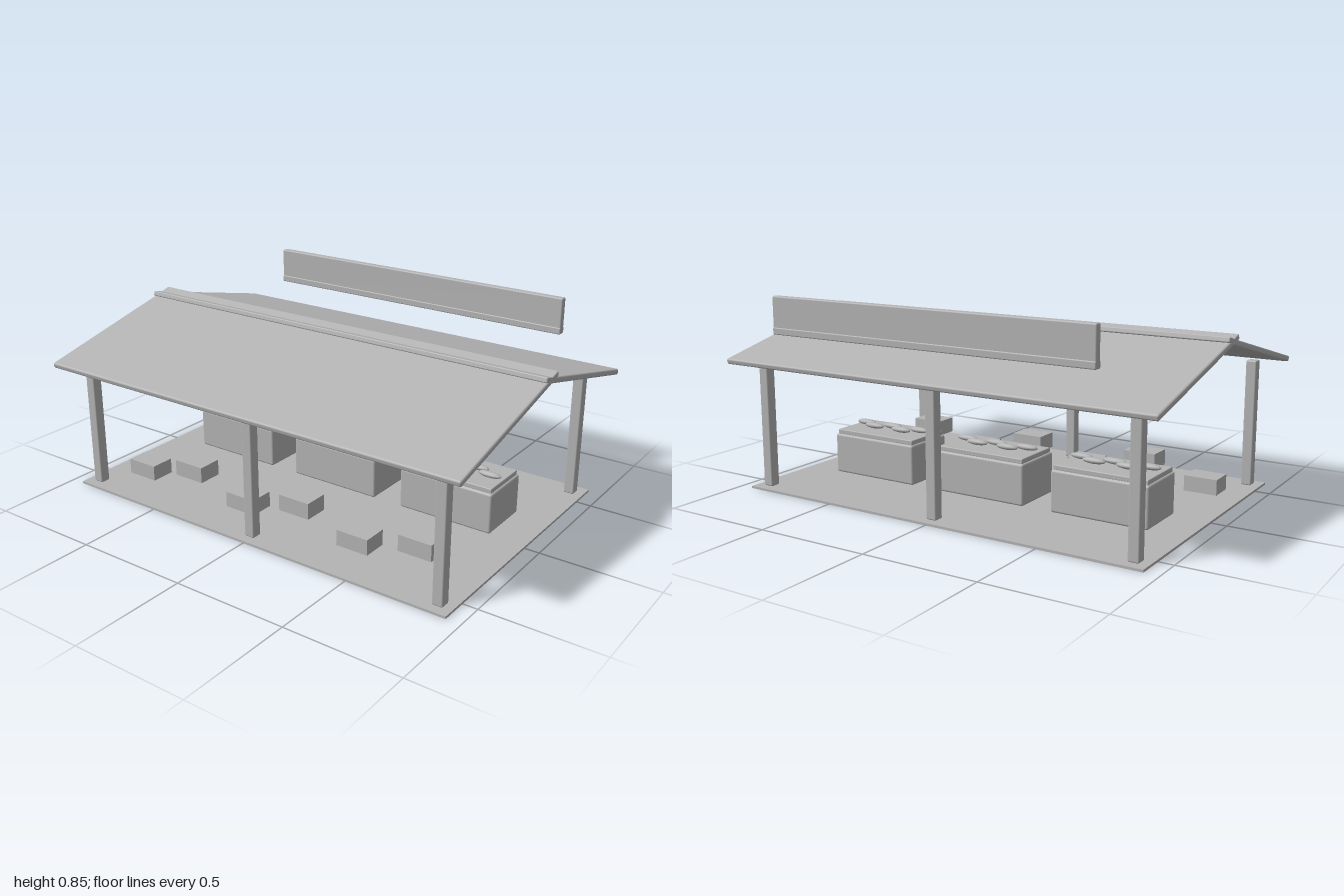
import * as THREE from 'three';
import { RoundedBoxGeometry } from 'three/addons/geometries/RoundedBoxGeometry.js';

const grey = new THREE.MeshStandardMaterial({ color: 0xb4b4b4 });
grey.name = 'plain grey';

export function createModel() {
  const group = new THREE.Group();

  // Box with softened edges when a radius is given
  function box(name, size, pos, radius = 0) {
    const geo = radius ? new RoundedBoxGeometry(...size, 2, radius) : new THREE.BoxGeometry(...size);
    const mesh = new THREE.Mesh(geo, grey);
    mesh.name = name;
    mesh.position.set(...pos);
    group.add(mesh);
    return mesh;
  }

  // Board spanning the full roof length between two (z, y) centre points
  function slopedBoard(name, z0, y0, z1, y1, thickness, radius) {
    const length = Math.hypot(z1 - z0, y1 - y0);
    const board = box(name, [2, thickness, length], [0, (y0 + y1) / 2, (z0 + z1) / 2], radius);
    board.rotation.x = -Math.atan2(y1 - y0, z1 - z0);
  }

  box('floor', [1.875, 0.01, 1.246], [0, 0.005, 0]);

  // Six posts, two gabled roof panels and the flared ridge caps
  for (const side of [-1, 1]) {
    for (const x of [-0.878, 0, 0.878]) {
      box('post', [0.046, 0.552, 0.046], [x, 0.286, side * 0.561], 0.006);
    }
    slopedBoard('roofPanel', 0, 0.726, side * 0.672, 0.562, 0.025, 0.008);
    slopedBoard('ridgeCap', 0, 0.728, side * 0.05, 0.741, 0.022, 0.005);
  }

  // Sign board with a thicker lower rail above the back eave
  box('signBoard', [1.5, 0.155, 0.032], [0, 0.777, -0.625], 0.006);
  box('signRail', [1.5, 0.03, 0.038], [0, 0.71, -0.625], 0.005);

  // Three counters, each with five fish laid in two staggered rows
  const fishGeo = new THREE.SphereGeometry(1, 12, 8);
  for (const x of [-0.562, 0, 0.562]) {
    box('counter', [0.432, 0.178, 0.246], [x, 0.099, -0.124], 0.01);
    box('counterTop', [0.416, 0.022, 0.226], [x, 0.197, -0.124], 0.004);
    for (let i = 0; i < 5; i++) {
      const fish = new THREE.Mesh(fishGeo, grey);
      fish.name = 'fish';
      fish.scale.set(0.053, 0.013, 0.017);
      fish.position.set(x + (i - 2) * 0.075, 0.222, i % 2 ? -0.143 : -0.105);
      group.add(fish);
    }
  }

  // Row of crates at alternating heights
  for (let i = 0; i < 6; i++) {
    box('crate', [0.148, 0.07, 0.11], [-0.755 + i * 0.288, i % 2 ? 0.114 : 0.043, 0.375]);
  }

  return group;
}
